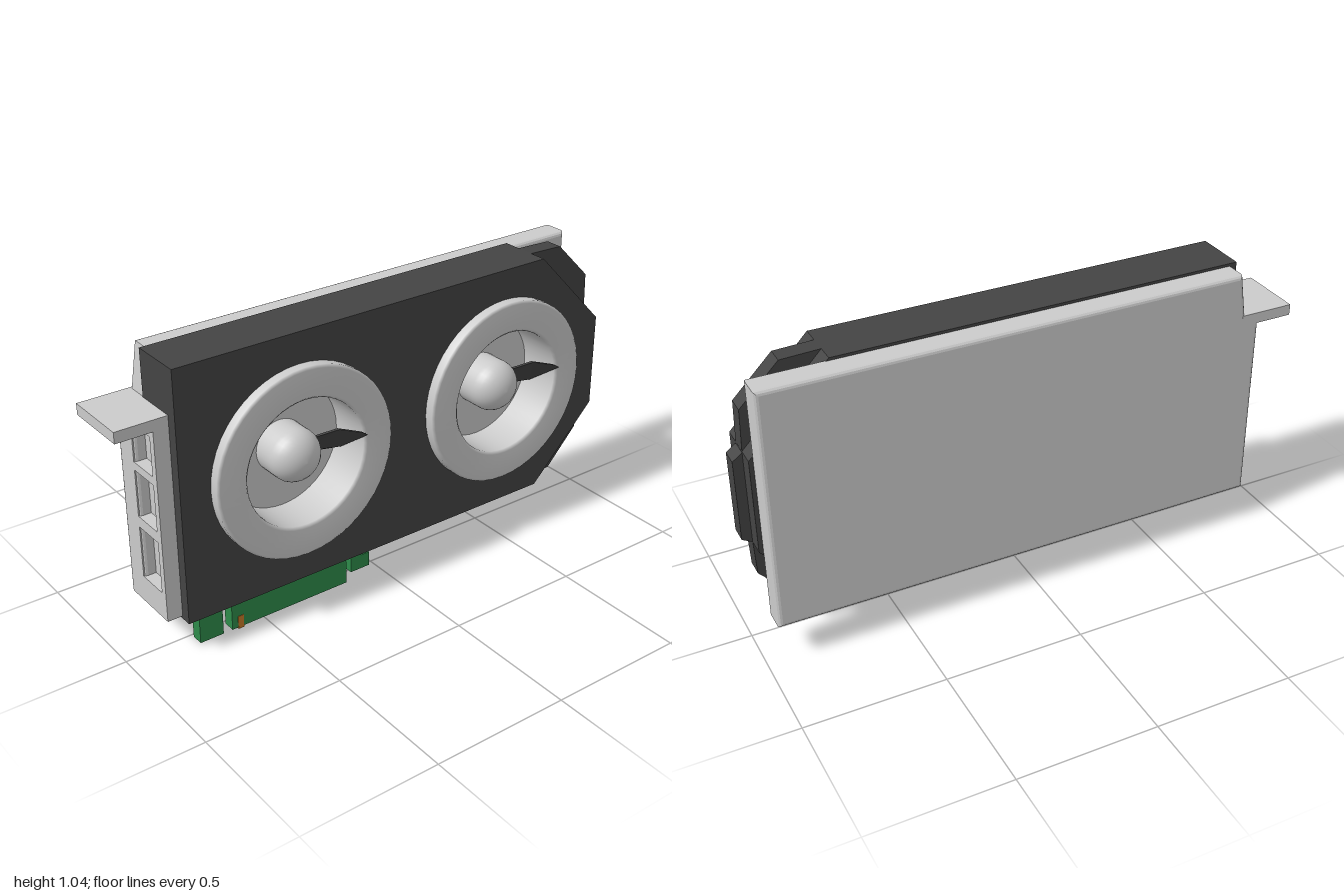
import * as THREE from 'three';

const grey = new THREE.MeshStandardMaterial({ color: 0xcccccc });
const greyThin = new THREE.MeshStandardMaterial({ color: 0xcccccc, side: THREE.DoubleSide });
const dark = new THREE.MeshStandardMaterial({ color: 0x444444, side: THREE.DoubleSide });
const green = new THREE.MeshStandardMaterial({ color: 0x2e8b4a });
const orange = new THREE.MeshStandardMaterial({ color: 0xc87a28 });

const FANS = [-0.36, 0.505], FAN_Y = 0.59;

const outline = (pts) => new THREE.Shape(pts.map(([x, y]) => new THREE.Vector2(x, y)));

function mesh(parent, name, geometry, material) {
  const m = new THREE.Mesh(geometry, material);
  m.name = name;
  parent.add(m);
  return m;
}

// Box given by its limits
function box(parent, name, [x0, x1], [y0, y1], [z0, z1], material) {
  const m = mesh(parent, name, new THREE.BoxGeometry(x1 - x0, y1 - y0, z1 - z0), material);
  m.position.set((x0 + x1) / 2, (y0 + y1) / 2, (z0 + z1) / 2);
  return m;
}

// Outline in xy extruded from z0 to z1, with round fan openings if wanted
function slab(parent, name, pts, z0, z1, material, holeRadius = 0) {
  const shape = outline(pts);
  if (holeRadius) {
    for (const x of FANS) shape.holes.push(new THREE.Path().absarc(x, FAN_Y, holeRadius, 0, Math.PI * 2, true));
  }
  const g = new THREE.ExtrudeGeometry(shape, { depth: z1 - z0, bevelEnabled: false, curveSegments: 24 });
  g.translate(0, 0, z0);
  return mesh(parent, name, g, material);
}

function makeFan(x) {
  const fan = new THREE.Group();
  fan.name = 'fan';
  fan.position.set(x, FAN_Y, 0);

  // Ring with a deep inner wall, softly shaded
  const ring = [[0.23, -0.03], [0.23, 0.135], [0.24, 0.145], [0.335, 0.145], [0.345, 0.138], [0.345, 0.09]];
  const ringGeo = new THREE.LatheGeometry(ring.map(([r, z]) => new THREE.Vector2(r, z)), 48);
  ringGeo.rotateX(Math.PI / 2);
  mesh(fan, 'fanRing', ringGeo, greyThin);

  // Floor of the opening
  const floor = mesh(fan, 'fanFloor', new THREE.CircleGeometry(0.235, 48), greyThin);
  floor.position.z = -0.02;

  // Bullet shaped hub
  const hub = [[0.095, -0.02], [0.095, 0.06]];
  for (let i = 1; i <= 8; i++) {
    const a = (i / 8) * Math.PI / 2;
    hub.push([0.095 * Math.cos(a), 0.06 + 0.08 * Math.sin(a)]);
  }
  const hubGeo = new THREE.LatheGeometry(hub.map(([r, z]) => new THREE.Vector2(Math.max(r, 0), z)), 32);
  hubGeo.rotateX(Math.PI / 2);
  mesh(fan, 'fanHub', hubGeo, greyThin);

  // Pitched blade: height follows y and rises towards the tip
  const bladeGeo = new THREE.ExtrudeGeometry(
    outline([[0.07, -0.04], [0.15, -0.06], [0.215, -0.055], [0.235, 0], [0.225, 0.045], [0.21, 0.055], [0.15, 0.065], [0.07, 0.05]]),
    { depth: 0.012, bevelEnabled: false });
  const p = bladeGeo.attributes.position;
  for (let i = 0; i < p.count; i++) {
    const bx = p.getX(i), by = p.getY(i);
    const pitch = 0.163 - 1.45 * Math.abs(0.047 - by) - 0.6 * Math.abs(0.215 - bx);
    p.setZ(i, Math.max(pitch, -0.015) + p.getZ(i));
  }
  bladeGeo.computeVertexNormals();
  mesh(fan, 'fanBlade', bladeGeo, dark);
  return fan;
}

function makeBracket() {
  const bracket = new THREE.Group();
  bracket.name = 'bracket';
  // Port plate, drawn in (z, y) and turned to face -x
  const plate = outline([[-0.16, 0.14], [0.065, 0.14], [0.065, 0.86], [-0.16, 0.86]]);
  for (const [y0, y1] of [[0.24, 0.43], [0.47, 0.64], [0.67, 0.81]]) {
    plate.holes.push(new THREE.Path([[-0.08, y0], [-0.08, y1], [0.04, y1], [0.04, y0]]
      .map(([z, y]) => new THREE.Vector2(z, y))));
  }
  const g = new THREE.ExtrudeGeometry(plate, { depth: 0.045, bevelEnabled: false });
  g.rotateY(-Math.PI / 2);
  g.translate(-0.825, 0, 0);
  mesh(bracket, 'portPlate', g, grey);
  box(bracket, 'portBacking', [-0.826, -0.81], [0.14, 0.86], [-0.16, 0.065], grey);
  box(bracket, 'mountingTab', [-1, -0.8], [0.837, 0.877], [-0.175, 0.065], grey);
  return bracket;
}

export function createModel() {
  const card = new THREE.Group();
  card.name = 'graphicsCard';

  // Shroud: full thickness body with cut corners, and a wider middle layer
  const body = [[-0.815, 0.13], [0.7, 0.13], [0.965, 0.4], [0.965, 0.75], [0.68, 1.045], [-0.815, 1.045]];
  slab(card, 'shroud', body, -0.09, 0.105, dark, 0.3);
  slab(card, 'shroudEnd',
    [[0.6, 0.13], [0.83, 0.13], [0.96, 0.27], [0.965, 0.4], [1, 0.42], [1, 0.72], [0.965, 0.745],
      [0.96, 0.9], [0.82, 1.04], [0.68, 1.045], [0.84, 0.7], [0.84, 0.45]],
    -0.025, 0.04, dark);

  // Back plate with softened edges
  const b = 0.015;
  const backGeo = new THREE.ExtrudeGeometry(
    outline([[-0.87 + b, 0.14 + b], [0.95 - b, 0.14 + b], [0.95 - b, 1.035 - b], [-0.79 + b, 1.035 - b],
      [-0.815 + b, 0.875 - b], [-0.87 + b, 0.875 - b]]),
    { depth: 0.085 - b, bevelThickness: b, bevelSize: b, bevelSegments: 3 });
  backGeo.translate(0, 0, -0.175 + b);
  mesh(card, 'backPlate', backGeo, grey);

  card.add(makeBracket());
  for (const x of FANS) card.add(makeFan(x));

  // Circuit board edge with its notches and hook
  slab(card, 'edgeConnector',
    [[-0.755, 0.2], [-0.755, 0.005], [-0.665, 0.005], [-0.665, 0.1], [-0.63, 0.1], [-0.63, 0.005], [-0.155, 0.005],
      [-0.155, 0.14], [-0.135, 0.14], [-0.135, 0.04], [-0.055, 0.04], [-0.055, 0.095], [-0.09, 0.095], [-0.09, 0.2]],
    0.02, 0.065, green);
  box(card, 'contact', [-0.607, -0.585], [0, 0.05], [0.03, 0.067], orange);

  return card;
}
